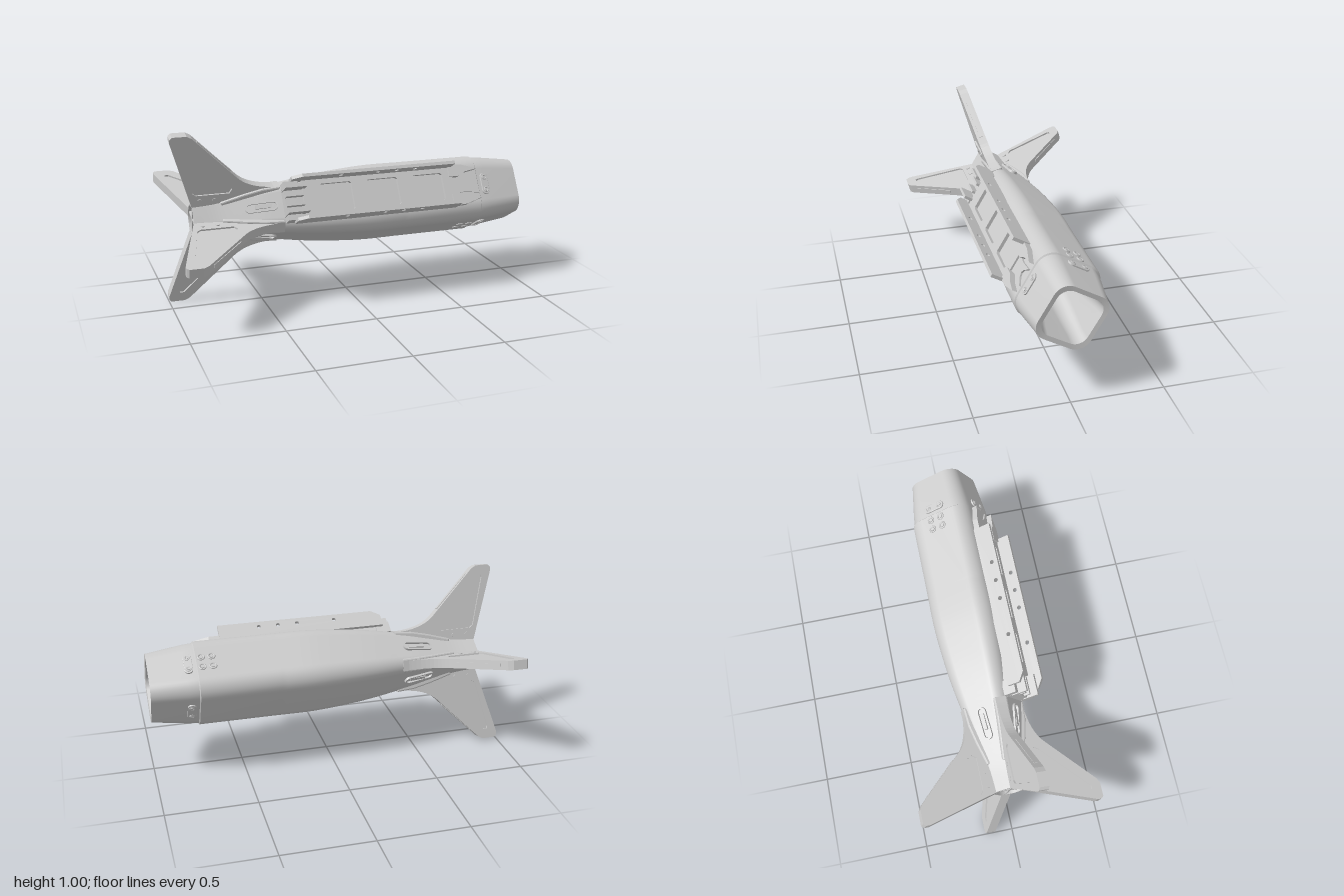
import * as THREE from 'three';

const mat = new THREE.MeshStandardMaterial({ color: 0xcccccc, side: THREE.DoubleSide });
const H = 0.19, R = 0.094; // half width and corner radius of the rounded-square hull

function add(parent, name, geo, x = 0, y = 0, z = 0) {
  const m = new THREE.Mesh(geo, mat);
  m.name = name;
  m.position.set(x, y, z);
  parent.add(m);
  return m;
}

// Skin through rounded-square rings [x, half width, corner radius]
function loft(rings, n = 8) {
  const pos = [], idx = [], count = 4 * (n + 1);
  for (const [x, h, r] of rings) {
    for (let c = 0; c < 4; c++) {
      const mid = Math.PI / 4 + c * Math.PI / 2;
      const d = (h - r) * Math.SQRT2;
      for (let k = 0; k <= n; k++) {
        const t = mid + (k / n - 0.5) * Math.PI / 2;
        pos.push(x, d * Math.sin(mid) + r * Math.sin(t), d * Math.cos(mid) + r * Math.cos(t));
      }
    }
  }
  for (let i = 0; i < rings.length - 1; i++) {
    for (let j = 0; j < count; j++) {
      const a = i * count + j, d = i * count + (j + 1) % count;
      idx.push(a, a + count, d + count, a, d + count, d);
    }
  }
  const g = new THREE.BufferGeometry();
  g.setAttribute('position', new THREE.Float32BufferAttribute(pos, 3));
  g.setIndex(idx);
  g.computeVertexNormals();
  return g;
}

const ring = (x, s) => [x, H * s, R * s];
const poly = pts => new THREE.Shape(pts.map(p => new THREE.Vector2(...p)));
const extrude = (shape, depth, bevel = 0) => new THREE.ExtrudeGeometry(shape, {
  depth, bevelEnabled: bevel > 0, bevelSize: bevel, bevelThickness: bevel, bevelSegments: 2, curveSegments: 10,
});

// Pill outline, lying along x
function pill(len, wid, T = THREE.Shape) {
  const s = new T(), a = (len - wid) / 2, r = wid / 2;
  s.absarc(a, 0, r, -Math.PI / 2, Math.PI / 2);
  s.absarc(-a, 0, r, Math.PI / 2, Math.PI * 1.5);
  s.closePath();
  return s;
}

// Ringed screw head facing +z
function screw(parent, x, y, z, r) {
  add(parent, 'screwRing', new THREE.TorusGeometry(r, r * 0.3, 6, 16), x, y, z);
  add(parent, 'screwHead', new THREE.CylinderGeometry(r * 0.6, r * 0.6, 0.008, 12), x, y, z).rotation.x = Math.PI / 2;
}

function buildHull(g) {
  // Tapering main hull
  const curve = new THREE.SplineCurve([
    [-0.88, 0.42], [-0.75, 0.46], [-0.6, 0.58], [-0.5, 0.67], [-0.4, 0.745],
    [-0.25, 0.855], [-0.1, 0.935], [0.1, 1], [0.3, 1],
  ].map(p => new THREE.Vector2(...p)));
  const rings = curve.getPoints(36).map(p => ring(p.x, p.y));
  add(g, 'hull', loft([...rings, ring(0.74, 1)]));
  add(g, 'hullShoulder', loft([ring(0.74, 1), ring(0.745, 0.965)]));
  // Nose collar, rim and funnel leading to the bore
  add(g, 'noseCollar', loft([ring(0.745, 0.965), ring(0.8, 0.945), ring(1, 0.82)]));
  add(g, 'noseRim', loft([ring(1, 0.82), ring(0.997, 0.69)]));
  add(g, 'noseFunnel', loft([
    ring(0.997, 0.69), ring(0.93, 0.64), [0.8, 0.108, 0.07], [0.68, 0.088, 0.074], [0.58, 0.075, 0.075],
  ]));
  add(g, 'bore', loft([[0.58, 0.075, 0.075], [-0.88, 0.075, 0.075]]));
  add(g, 'tailRim', loft([[-0.88, 0.075, 0.075], ring(-0.88, 0.42)]));
  // Crossed struts in the tail opening
  for (const s of [-1, 1]) {
    add(g, 'tailStrut', new THREE.BoxGeometry(0.03, 0.152, 0.01), -0.86).rotation.x = s * Math.PI / 4;
  }
}

function buildFin() {
  const fin = new THREE.Group();
  fin.name = 'fin';
  const outline = poly([[-0.88, 0.08], [-1, 0.475], [-1, 0.495], [-0.988, 0.51], [-0.912, 0.51], [-0.885, 0.495], [-0.64, 0.245]]);
  outline.quadraticCurveTo(-0.57, 0.175, -0.42, 0.17);
  outline.lineTo(-0.42, 0.1);
  outline.lineTo(-0.6, 0.08);
  const panel = [[-0.945, 0.44], [-0.94, 0.455], [-0.92, 0.455], [-0.68, 0.205], [-0.665, 0.18], [-0.68, 0.155], [-0.86, 0.155], [-0.88, 0.17]];
  outline.holes.push(poly(panel));
  add(fin, 'finFrame', extrude(outline, 0.052), 0, 0, -0.026);
  add(fin, 'finPanel', extrude(poly(panel), 0.034), 0, 0, -0.017);
  // Leading edge strip
  const strip = add(fin, 'finEdgeStrip', new THREE.BoxGeometry(0.26, 0.008, 0.018), -0.765, 0.372, 0);
  strip.rotation.z = -Math.PI / 4;
  // Flared root fairing
  const root = poly([[-0.72, 0.08], [-0.72, 0.1], [-0.6, 0.135], [-0.5, 0.158], [-0.41, 0.165], [-0.41, 0.12], [-0.55, 0.09]]);
  add(fin, 'finRoot', extrude(root, 0.06, 0.008), 0, 0, -0.03);
  for (const x of [-0.84, -0.76]) {
    const bolt = add(fin, 'finBolt', new THREE.CylinderGeometry(0.012, 0.012, 0.06, 12), x, 0.122);
    bolt.rotation.x = Math.PI / 2;
  }
  return fin;
}

// Details repeated on each flat side; the side faces local +z
function buildSide(k) {
  const side = new THREE.Group();
  side.name = 'sideFittings';
  side.rotation.x = k * Math.PI / 2;
  // Slotted vent on the sloping tail
  const frame = pill(0.18, 0.055);
  frame.holes.push(pill(0.16, 0.036, THREE.Path));
  const vent = new THREE.Group();
  vent.name = 'tailVent';
  vent.position.set(-0.515, 0, 0.122);
  vent.rotation.y = -0.17;
  add(vent, 'ventFrame', extrude(frame, 0.014));
  add(vent, 'ventLever', new THREE.BoxGeometry(0.09, 0.02, 0.016), 0.01, 0, 0.004).rotation.y = 0.08;
  side.add(vent);
  // Nose latch
  const latch = new THREE.Group();
  latch.name = 'noseLatch';
  latch.position.set(0.785, 0, 0.175);
  latch.rotation.set(0, 0.1, 0);
  add(latch, 'latchPlate', extrude(pill(0.12, 0.042), 0.012, 0.002)).rotation.z = Math.PI / 2;
  for (const s of [-1, 1]) screw(latch, 0, s * 0.036, 0.014, 0.012);
  side.add(latch);
  // Four screws on the two sides flanking the bay
  if (k % 2) {
    for (const x of [0.655, 0.712]) for (const y of [-0.032, 0.032]) screw(side, x, y, H + 0.001, 0.017);
  }
  return side;
}

function buildBay() {
  const bay = new THREE.Group();
  bay.name = 'railBay';
  // Floor plate with three windows
  const plate = poly([[-0.3, -0.11], [0.58, -0.11], [0.58, 0.11], [-0.3, 0.11]]);
  for (const x of [-0.11, 0.16, 0.43]) {
    plate.holes.push(poly([[x - 0.09, -0.07], [x - 0.08, -0.078], [x + 0.08, -0.078], [x + 0.09, -0.07],
      [x + 0.09, 0.07], [x + 0.08, 0.078], [x - 0.08, 0.078], [x - 0.09, 0.07]]));
  }
  add(bay, 'bayFloor', extrude(plate, 0.02), 0, 0, 0.19);
  add(bay, 'bayBase', new THREE.BoxGeometry(0.9, 0.2, 0.06), 0.13, 0, 0.162);
  for (const s of [-1, 1]) {
    // Upright rail with bolt holes
    const rail = poly([[-0.36, 0.18], [0.58, 0.18], [0.58, 0.285], [-0.31, 0.285], [-0.36, 0.25]]);
    for (const x of [-0.085, 0.13, 0.24, 0.35]) {
      const hole = new THREE.Path();
      hole.absarc(x, 0.25, 0.012, 0, Math.PI * 2);
      rail.holes.push(hole);
    }
    add(bay, 'rail', extrude(rail, 0.018), 0, s * 0.114 + 0.009, 0).rotation.x = Math.PI / 2;
    // Rear clamp jaws
    add(bay, 'clampJaw', new THREE.BoxGeometry(0.12, 0.016, 0.09), -0.345, s * 0.068, 0.215);
    add(bay, 'clampRib', new THREE.BoxGeometry(0.1, 0.014, 0.06), -0.35, s * 0.026, 0.2);
    add(bay, 'clampFoot', new THREE.BoxGeometry(0.08, 0.03, 0.07), -0.36, s * 0.092, 0.175);
    // Forked front prong
    const prong = poly([[0.56, s * 0.118], [0.64, s * 0.115], [0.735, s * 0.085], [0.66, s * 0.072], [0.62, s * 0.05], [0.56, s * 0.05]]);
    add(bay, 'frontProng', extrude(prong, 0.045), 0, 0, 0.175);
    const claw = poly([[0.58, s * 0.05], [0.64, s * 0.04], [0.735, s * 0.05], [0.69, s * 0.02], [0.68, 0], [0.58, 0]]);
    add(bay, 'frontClaw', extrude(claw, 0.02), 0, 0, 0.18);
  }
  add(bay, 'clampBase', new THREE.BoxGeometry(0.12, 0.15, 0.07), -0.34, 0, 0.16);
  return bay;
}

export function createModel() {
  const model = new THREE.Group();
  model.name = 'finnedPod';
  // Whole pod is rolled about its long axis
  const pod = new THREE.Group();
  pod.name = 'pod';
  pod.position.y = 0.5;
  pod.rotation.x = -Math.PI / 6;
  model.add(pod);
  buildHull(pod);
  for (let k = 0; k < 4; k++) {
    const fin = buildFin();
    fin.rotation.x = Math.PI / 4 + k * Math.PI / 2;
    pod.add(fin, buildSide(k));
  }
  pod.add(buildBay());
  return model;
}
